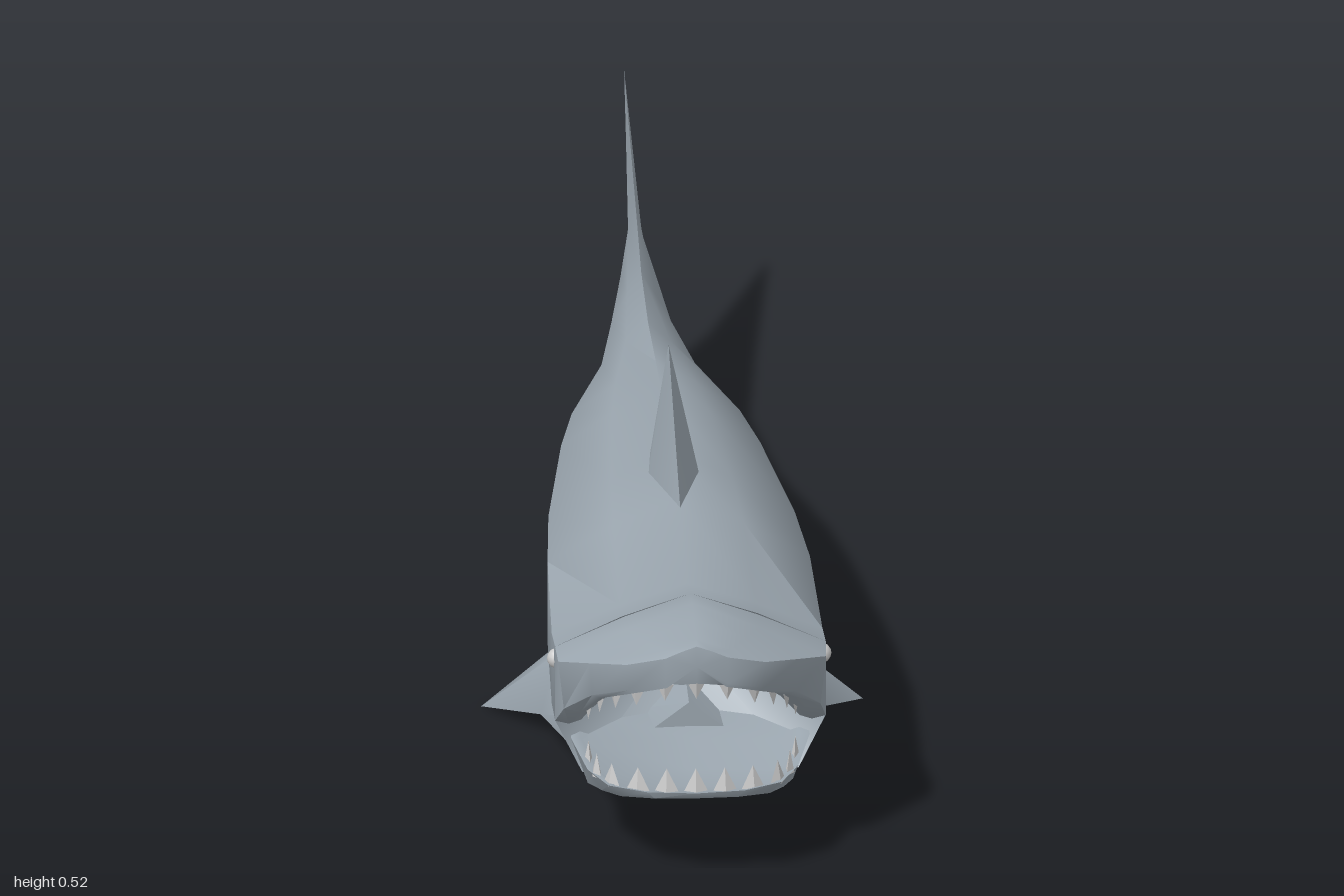
import * as THREE from 'three';
import { toCreasedNormals } from 'three/addons/utils/BufferGeometryUtils.js';

const skin = new THREE.MeshStandardMaterial({ color: 0x9ba6af, side: THREE.DoubleSide });
const ivory = new THREE.MeshStandardMaterial({ color: 0xcccccc });
const lerp = THREE.MathUtils.lerp;

function mesh(name, geometry, material = skin) {
  const m = new THREE.Mesh(geometry, material);
  m.name = name;
  return m;
}

function build(positions, index, crease) {
  const g = new THREE.BufferGeometry();
  g.setAttribute('position', new THREE.Float32BufferAttribute(positions, 3));
  g.setIndex(index);
  return toCreasedNormals(g, crease);
}

// Skin over mirrored half sections listed front to back, closed in front by a fan to the apex
function loft(halves, apex, crease) {
  const rings = halves.map(h => [...h, ...h.slice(1, -1).reverse().map(([x, y, z]) => [-x, y, z])]);
  const n = rings[0].length, index = [], last = rings.length * n;
  for (let i = 0; i < n; i++) {
    const j = (i + 1) % n;
    index.push(last, j, i);
    for (let r = 0; r < rings.length - 1; r++) {
      const a = r * n, b = a + n;
      index.push(a + i, a + j, b + i, a + j, b + j, b + i);
    }
  }
  return build([...rings.flat(), apex].flat(), index, crease);
}

// Body section: boxy towards the head (k = 0), lens-shaped towards the tail (k = 1)
const boxy = [[0, 1], [0.5, 0.89], [1, 0.74], [1, 0.36], [0.8, 0.09], [0, 0]];
const lens = [[0, 1], [0.45, 0.82], [0.95, 0.6], [0.95, 0.42], [0.5, 0.2], [0, 0]];
function section(w, k, top, bottom, mid = [(top[0] + bottom[0]) / 2, (top[1] + bottom[1]) / 2]) {
  return boxy.map(([bx, bs], i) => {
    const s = lerp(bs, lens[i][1], k);
    const [from, to, t] = s >= 0.5 ? [mid, top, 2 * s - 1] : [bottom, mid, 2 * s];
    return [w * lerp(bx, lens[i][0], k), lerp(from[0], to[0], t), lerp(from[1], to[1], t)];
  });
}

function bodyGeometry() {
  // z, half width, top, bottom, lens amount
  const trunk = [
    [0.82, 0.195, 0.388, 0.085, 0], [0.73, 0.195, 0.365, 0.078, 0], [0.5, 0.19, 0.4, 0.05, 0.1],
    [0.3, 0.18, 0.388, 0.06, 0.3], [0, 0.147, 0.36, 0.085, 0.5], [-0.13, 0.125, 0.343, 0.11, 0.6],
    [-0.34, 0.07, 0.312, 0.14, 0.8],
  ].map(([z, w, t, b, k]) => section(w, k, [t, z], [b, z]));
  // Tail fin: sections bend back into two lobes with a notch
  return loft([...trunk,
    section(0.045, 1, [0.31, -0.53], [0.117, -0.53]),
    section(0.022, 1, [0.352, -0.7], [0.1, -0.65], [0.2, -0.7]),
    section(0.001, 1, [0.425, -1], [0.02, -0.895], [0.19, -0.83]),
  ], [0, 0.24, 0.62], 1.1);
}

function upperHeadGeometry() {
  // z, half width, top, shoulder height, cheek half width, lip half width, lip height
  const rows = [
    [0.995, 0.045, 0.38, 0.362, 0.045, 0.043, 0.316], [0.975, 0.1, 0.383, 0.345, 0.098, 0.092, 0.3],
    [0.92, 0.15, 0.389, 0.325, 0.147, 0.135, 0.27], [0.87, 0.193, 0.394, 0.307, 0.185, 0.16, 0.228],
    [0.82, 0.195, 0.388, 0.309, 0.195, 0.175, 0.188], [0.72, 0.185, 0.355, 0.28, 0.185, 0.165, 0.18],
  ];
  return loft(rows.map(([z, w, top, sh, cw, lw, ly]) => [
    [0, top, z], [w * 0.5, lerp(sh, top, 0.55), z], [w, sh, z], [cw, ly + 0.005, z], [lw, ly, z],
    [lw * 0.9, ly + 0.006, z], [lw * 0.5, lerp(ly, 0.322, 0.75), z], [0, 0.322, z],
  ]), [0, 0.35, 1], 0.9);
}

function lowerJawGeometry() {
  // z, lip half width, lip height, bottom
  const rows = [
    [0.985, 0.07, 0.149, 0.138], [0.95, 0.125, 0.146, 0.127], [0.89, 0.152, 0.146, 0.109],
    [0.82, 0.172, 0.165, 0.087], [0.72, 0.17, 0.17, 0.085],
  ];
  return loft(rows.map(([z, w, lip, bottom]) => [
    [0, lip - 0.004, z], [w * 0.85, lip - 0.008, z], [w * 0.92, lip, z], [w, lip, z],
    [w * 0.86, lerp(bottom, lip, 0.1), z], [0, bottom, z],
  ]), [0, 0.15, 0.995], 0.9);
}

// Both pectoral fins spread from one belly shelf: z, root x and y, edge x and y, belly y
function pectoralGeometry() {
  const rows = [
    [0.78, 0.13, 0.1, 0.128, 0.085, 0.08], [0.6, 0.16, 0.105, 0.162, 0.06, 0.055],
    [0.43, 0.172, 0.13, 0.195, 0.035, 0.038], [0.315, 0.158, 0.1, 0.275, 0, 0.045],
    [0.305, 0.15, 0.1, 0.14, 0.085, 0.062],
  ];
  return loft(rows.map(([z, rx, ry, ex, ey, by]) => [[0, 0.2, z], [rx, ry, z], [ex, ey, z], [0, by, z]]),
    [0, 0.1, 0.78], 0.9);
}

// Thin wedge drawn from a loop of root points up to the tip
function dorsalGeometry() {
  const root = [[0, 0.402, 0.54], [-0.036, 0.38, 0.36], [-0.03, 0.378, 0.285],
    [0, 0.375, 0.275], [0.03, 0.378, 0.285], [0.036, 0.38, 0.36]];
  const n = root.length, index = root.flatMap((_, i) => [i, (i + 1) % n, n]);
  return build([...root, [0, 0.52, 0.22]].flat(), index, 0.8);
}

// Row of pointed teeth spaced evenly along a mirrored lip curve; dir is +1 up, -1 down
function teeth(name, half, count, radius, height, dir) {
  const pts = [...half.slice(1).reverse().map(([x, y, z]) => [-x, y, z]), ...half];
  const curve = new THREE.CatmullRomCurve3(pts.map(p => new THREE.Vector3(...p)));
  const group = new THREE.Group();
  group.name = name;
  for (let i = 0; i < count; i++) {
    const u = (i + 0.5) / count, p = curve.getPointAt(u), t = curve.getTangentAt(u);
    const tooth = mesh('tooth', new THREE.ConeGeometry(radius, height, 4).toNonIndexed(), ivory);
    tooth.geometry.computeVertexNormals();
    tooth.scale.z = 0.4;
    tooth.position.set(p.x, p.y + dir * height * 0.4, p.z);
    tooth.rotation.set(dir > 0 ? 0 : Math.PI, dir * Math.atan2(-t.z, t.x), 0);
    group.add(tooth);
  }
  return group;
}

export function createModel() {
  const model = new THREE.Group();
  model.name = 'shark';
  model.add(
    mesh('body', bodyGeometry()),
    mesh('upperHead', upperHeadGeometry()),
    mesh('lowerJaw', lowerJawGeometry()),
    mesh('pectoralFins', pectoralGeometry()),
    mesh('dorsalFin', dorsalGeometry()),
    teeth('upperTeeth', [[0, 0.316, 0.982], [0.05, 0.311, 0.976], [0.088, 0.298, 0.96],
      [0.128, 0.27, 0.91], [0.15, 0.235, 0.86], [0.155, 0.222, 0.845]], 11, 0.013, 0.026, -1),
    teeth('lowerTeeth', [[0, 0.148, 0.972], [0.07, 0.146, 0.962], [0.118, 0.144, 0.94],
      [0.143, 0.145, 0.89], [0.152, 0.15, 0.84]], 11, 0.017, 0.035, 1),
  );
  for (const side of [1, -1]) {
    const eye = mesh(side > 0 ? 'leftEye' : 'rightEye', new THREE.SphereGeometry(0.015, 12, 8), ivory);
    eye.position.set(side * 0.19, 0.276, 0.785);
    model.add(eye);
  }
  return model;
}
